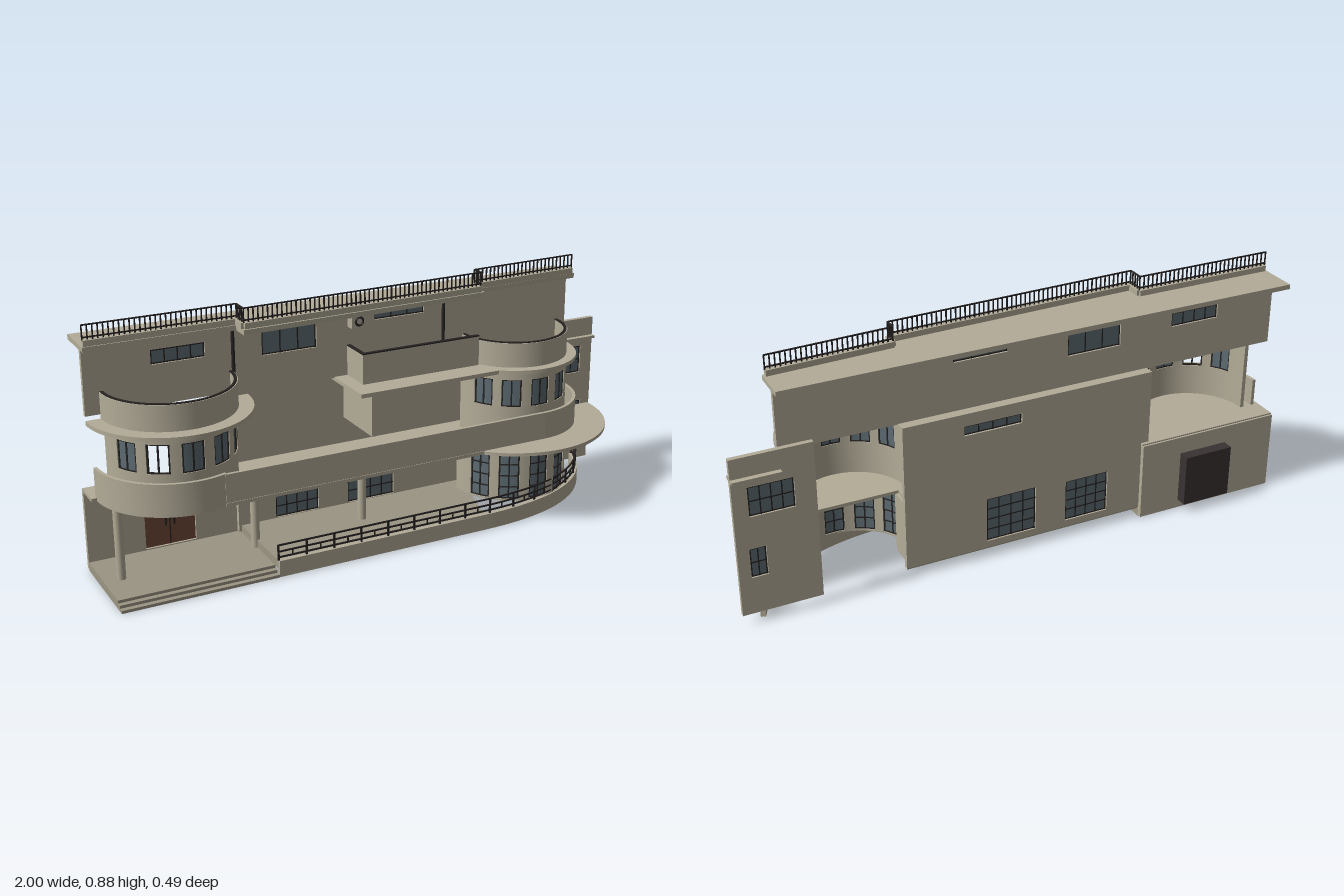
import * as THREE from 'three';
import { toCreasedNormals } from 'three/addons/utils/BufferGeometryUtils.js';

const mat = (name, color, side = THREE.FrontSide) => {
  const m = new THREE.MeshStandardMaterial({ color, side });
  m.name = name;
  return m;
};

export function createModel() {
  const root = new THREE.Group();
  root.name = 'modernistHouse';
  const plaster = mat('plaster', 0xb3ac98), stone = mat('stone', 0x9b9583);
  const metal = mat('dark metal', 0x262222), glass = mat('glass', 0x5d6c73);
  const wood = mat('brown wood', 0x70493a), recess = mat('door recess', 0x3a3232);

  const add = (name, geo, m) => {
    const mesh = new THREE.Mesh(geo, m);
    mesh.name = name;
    root.add(mesh);
    return mesh;
  };
  const box = (name, m, x0, x1, y0, y1, z0, z1) =>
    add(name, new THREE.BoxGeometry(x1 - x0, y1 - y0, z1 - z0), m)
      .position.set((x0 + x1) / 2, (y0 + y1) / 2, (z0 + z1) / 2);

  // plan outline [x, z] raised from y0 to y1
  const slab = (name, m, pts, y0, y1) => {
    const shape = new THREE.Shape(pts.map(([x, z]) => new THREE.Vector2(x, -z)));
    const geo = new THREE.ExtrudeGeometry(shape, { depth: y1 - y0, bevelEnabled: false });
    geo.rotateX(-Math.PI / 2).translate(0, y0, 0);
    return add(name, toCreasedNormals(geo, 0.4), m);
  };
  // arc in plan, angles in degrees from the front
  const arc = ([cx, cz], r, a0, a1) => {
    const n = Math.max(2, Math.ceil(Math.abs(a1 - a0) / 4));
    return Array.from({ length: n + 1 }, (_, i) => {
      const a = (a0 + (a1 - a0) * i / n) * Math.PI / 180;
      return [cx + r * Math.sin(a), cz + r * Math.cos(a)];
    });
  };
  const ring = (name, m, c, r0, r1, a0, a1, y0, y1) =>
    slab(name, m, [...arc(c, r1, a0, a1), ...arc(c, r0, a1, a0)], y0, y1);
  // strip of width w along a plan path
  const strip = (name, m, pts, w, y0, y1) => {
    const side = s => pts.map(([x, z], i) => {
      const p = pts[Math.max(0, i - 1)], q = pts[Math.min(pts.length - 1, i + 1)];
      const dx = q[0] - p[0], dz = q[1] - p[1], l = Math.hypot(dx, dz);
      return [x - s * dz / l * w / 2, z + s * dx / l * w / 2];
    });
    slab(name, m, [...side(1), ...side(-1).reverse()], y0, y1);
  };

  // flat wall with glazed openings [x0, x1, y0, y1, columns, rows]
  const wall = (name, x0, x1, y0, y1, z0, z1, windows = []) => {
    const rect = (S, a, b, c, d) => new S([[a, c], [b, c], [b, d], [a, d]].map(p => new THREE.Vector2(...p)));
    const shape = rect(THREE.Shape, x0, x1, y0, y1);
    const zm = (z0 + z1) / 2;
    for (const [a, b, c, d, nx, ny] of windows) {
      shape.holes.push(rect(THREE.Path, a, b, c, d));
      if (!nx) continue;
      box('windowGlass', glass, a, b, c, d, zm - 0.002, zm + 0.002);
      for (let i = 0; i <= nx; i++) {
        const x = a + 0.003 + (b - a - 0.006) * i / nx;
        box('windowBar', metal, x - 0.002, x + 0.002, c, d, zm - 0.004, zm + 0.005);
      }
      for (let j = 0; j <= ny; j++) {
        const y = c + 0.003 + (d - c - 0.006) * j / ny;
        box('windowBar', metal, a, b, y - 0.002, y + 0.002, zm - 0.004, zm + 0.005);
      }
    }
    const geo = new THREE.ExtrudeGeometry(shape, { depth: z1 - z0, bevelEnabled: false });
    add(name, geo.translate(0, 0, z0), plaster);
  };

  // half-round wall with five windows
  const bayAngles = [-59, -30, 0, 30, 59];
  const bay = (c, r, y0, y1, w0, w1, rows, openIndex = -1) => {
    const r0 = r - 0.014, h = 10;
    if (w0 > y0) ring('bayWall', plaster, c, r0, r, -90, 90, y0, w0);
    ring('bayWall', plaster, c, r0, r, -90, 90, w1, y1);
    let a = -90;
    bayAngles.forEach((b, k) => {
      ring('bayPier', plaster, c, r0, r, a, b - h, w0, w1);
      a = b + h;
      if (k !== openIndex) ring('bayGlass', glass, c, r - 0.009, r - 0.006, b - h, b + h, w0, w1);
      for (const t of [b - h + 0.7, b, b + h - 0.7])
        ring('bayMullion', metal, c, r - 0.011, r - 0.003, t - 0.7, t + 0.7, w0, w1);
      for (let j = 0; j <= rows; j++) {
        const y = w0 + (w1 - w0 - 0.004) * j / rows;
        ring('bayTransom', metal, c, r - 0.011, r - 0.003, b - h, b + h, y, y + 0.004);
      }
    });
    ring('bayPier', plaster, c, r0, r, a, 90, w0, w1);
  };

  const L = [-0.72, -0.115], R = [0.58, -0.11];

  // porch steps and terrace floor
  for (let i = 0; i < 3; i++)
    box('porchStep', stone, -1, -0.46, i * 0.01, i * 0.01 + 0.01, -0.19, 0.15 - i * 0.018);
  slab('terraceFloor', stone, [[-0.46, 0.14], [0.33, 0.14], [0.43, -0.185], [-0.46, -0.185]], 0.03, 0.058);

  // curved terrace curb and railing
  const path = new THREE.CurvePath();
  const v = (x, z) => new THREE.Vector3(x, 0, z);
  path.add(new THREE.LineCurve3(v(-0.46, 0.143), v(0.33, 0.143)));
  path.add(new THREE.QuadraticBezierCurve3(v(0.33, 0.143), v(0.8, 0.143), v(0.93, -0.19)));
  const curb = path.getSpacedPoints(60).map(p => [p.x, p.z]);
  strip('terraceCurb', plaster, curb, 0.018, 0.002, 0.06);
  for (const y of [0.068, 0.088, 0.111]) strip('terraceRail', metal, curb, 0.005, y, y + 0.005);
  curb.forEach(([x, z], i) => {
    if (i % 4 === 0) box('terracePost', metal, x - 0.003, x + 0.003, 0.06, 0.115, z - 0.003, z + 0.003);
    else if (i % 4 === 2) box('terracePost', metal, x - 0.002, x + 0.002, 0.07, 0.09, z - 0.002, z + 0.002);
  });

  // ground floor walls, entrance and columns
  wall('entranceWall', -1, -0.46, 0.004, 0.29, -0.207, -0.19, [[-0.8, -0.62, 0.034, 0.226]]);
  box('doorRecess', recess, -0.8, -0.615, 0.036, 0.226, -0.248, -0.207);
  box('entranceDoor', wood, -0.8, -0.62, 0.034, 0.226, -0.206, -0.198);
  box('doorSeam', metal, -0.712, -0.708, 0.034, 0.226, -0.2, -0.196);
  for (const x of [-0.725, -0.695]) box('doorHandle', metal, x - 0.003, x + 0.003, 0.105, 0.14, -0.2, -0.191);
  wall('gardenWall', -0.47, 0.43, 0.035, 0.295, -0.187, -0.17,
    [[-0.33, -0.165, 0.06, 0.215, 4, 4], [-0.05, 0.135, 0.06, 0.225, 4, 4]]);
  box('returnWall', plaster, 0.415, 0.43, 0.06, 0.284, -0.187, -0.1);
  for (const [x, z, y] of [[-0.94, -0.03, 0.03], [-0.46, -0.05, 0.03], [-0.065, -0.03, 0.058]])
    add('column', new THREE.CylinderGeometry(0.015, 0.015, 0.284 - y, 20), plaster)
      .position.set(x, (0.284 + y) / 2, z);
  bay(R, 0.215, 0.055, 0.284, 0.062, 0.237, 4);

  // first floor slabs and balcony parapets
  box('balconySlab', plaster, -0.63, 0.42, 0.283, 0.295, -0.185, 0.135);
  slab('balconySlabLeft', plaster, [...arc(L, 0.262, -90, 90)], 0.283, 0.295);
  box('porchRoof', plaster, -1, -0.46, 0.283, 0.295, -0.2, -0.1);
  slab('balconySlabRight', plaster, [...arc(R, 0.355, -45, 90), [0.33, -0.11]], 0.283, 0.295);
  ring('balconyParapetLeft', plaster, L, 0.25, 0.262, -90, 22, 0.295, 0.395);
  box('balconyParapet', plaster, -0.63, 0.58, 0.283, 0.393, 0.121, 0.133);
  ring('balconyParapetRight', plaster, R, 0.231, 0.243, 0, 90, 0.295, 0.393);

  // first floor bays and back wall
  bay(L, 0.218, 0.295, 0.543, 0.41, 0.51, 1, 1);
  bay(R, 0.205, 0.295, 0.543, 0.41, 0.51, 1);
  wall('firstFloorWall', -0.49, 0.43, 0.295, 0.565, -0.187, -0.168, [[0.005, 0.215, 0.485, 0.52, 4, 1]]);
  box('canopyFin', plaster, -0.065, -0.05, 0.39, 0.543, -0.17, 0.05);

  // canopies above the bays, round parapets with dark coping
  for (const [c, r, rp] of [[L, 0.276, 0.226], [R, 0.238, 0.203]]) {
    slab('bayCanopy', plaster, arc(c, r, -90, 90), 0.542, 0.556);
    ring('bayParapet', plaster, c, rp - 0.01, rp, -90, 90, 0.556, 0.644);
    ring('bayCoping', metal, c, rp - 0.013, rp - 0.003, -90, 90, 0.643, 0.647);
  }
  box('middleCanopy', plaster, -0.115, 0.42, 0.542, 0.556, -0.18, 0.07);
  box('upperFloorSlab', plaster, -0.49, 0.43, 0.552, 0.565, -0.185, -0.135);
  box('terraceParapet', plaster, -0.065, 0.39, 0.556, 0.662, -0.027, -0.016);
  box('terraceParapetSide', plaster, -0.065, -0.054, 0.556, 0.662, -0.15, -0.016);
  box('terraceCoping', metal, -0.066, 0.39, 0.661, 0.665, -0.029, -0.015);
  box('terraceCopingSide', metal, -0.066, -0.053, 0.661, 0.665, -0.14, -0.015);

  // top floor wall, vent and drainpipes
  wall('topFloorWall', -0.99, 0.83, 0.563, 0.795, -0.152, -0.135, [
    [-0.765, -0.58, 0.7, 0.75, 4, 1], [-0.38, -0.18, 0.673, 0.783, 3, 1], [0.04, 0.235, 0.738, 0.778, 3, 1]]);
  box('vent', plaster, -0.062, -0.006, 0.728, 0.776, -0.135, -0.102);
  add('ventRing', new THREE.TorusGeometry(0.014, 0.004, 8, 20), metal).position.set(-0.034, 0.752, -0.102);
  for (const [x, y] of [[-0.485, 0.4], [0.31, 0.56]])
    add('drainpipe', new THREE.CylinderGeometry(0.006, 0.006, 0.785 - y, 10), metal)
      .position.set(x, (0.785 + y) / 2, -0.129);

  // stepped roof with cornice and railing along its front edge
  slab('roof', plaster, [[-1, -0.235], [0.845, -0.235], [0.845, -0.108], [0.425, -0.088], [0.425, -0.042],
    [-0.492, -0.012], [-0.492, -0.075], [-1, -0.075]], 0.793, 0.81);
  const edge = [[-0.995, -0.088], [-0.485, -0.088], [-0.485, -0.028], [0.415, -0.056], [0.415, -0.098], [0.838, -0.117]];
  for (let i = 0; i < edge.length - 1; i++) {
    const [p, q] = [edge[i], edge[i + 1]];
    strip('cornice', plaster, [p, q], 0.018, 0.81, 0.83);
    for (const y of [0.836, 0.876]) strip('roofRail', metal, [p, q], 0.005, y, y + 0.004);
    const n = Math.ceil(Math.hypot(q[0] - p[0], q[1] - p[1]) / 0.017);
    for (let k = 0; k <= n; k++) {
      const x = p[0] + (q[0] - p[0]) * k / n, z = p[1] + (q[1] - p[1]) * k / n;
      box('roofBaluster', metal, x - 0.002, x + 0.002, 0.83, 0.88, z - 0.002, z + 0.002);
    }
  }

  // side wing wall with ledge
  wall('wingWall', 0.73, 1, 0.037, 0.602, -0.207, -0.19,
    [[0.8, 0.95, 0.39, 0.495, 4, 2], [0.905, 0.96, 0.17, 0.275, 2, 2]]);
  box('wingLedge', plaster, 0.84, 1, 0.523, 0.533, -0.225, -0.172);

  return root;
}
